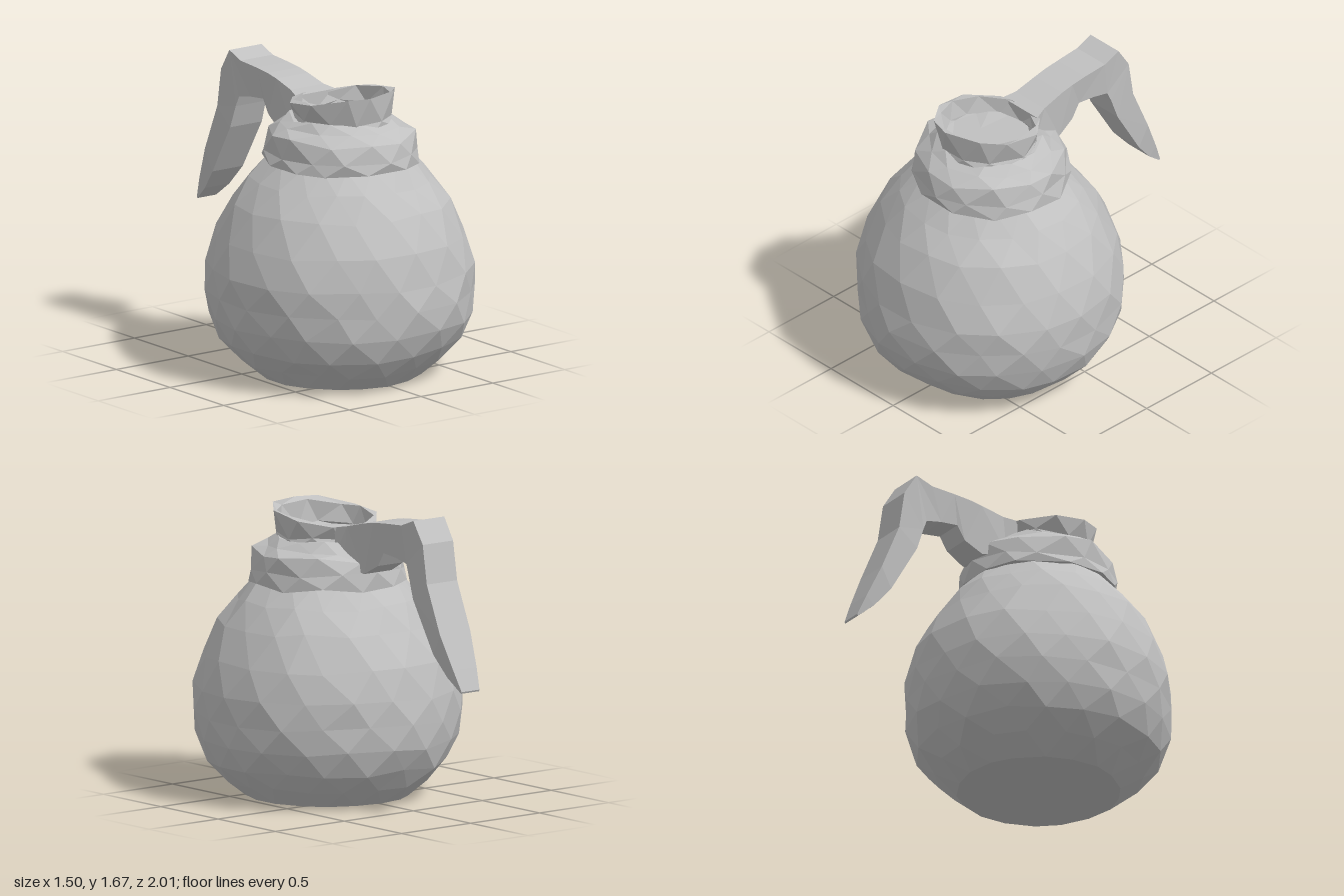
import * as THREE from 'three';

// small seeded random in -1..1
let seed = 7;
const rnd = () => {
  seed = (seed * 16807) % 2147483647;
  return (seed / 2147483647) * 2 - 1;
};

// skin closed cross-sections of equal length, with both ends capped
function loft(sections) {
  const n = sections[0].length, pos = [];
  const tri = (...pts) => pts.forEach((p) => pos.push(...p));
  for (let j = 0; j < sections.length - 1; j++) {
    const lo = sections[j], up = sections[j + 1];
    for (let i = 0; i < n; i++) {
      const k = (i + 1) % n;
      if (j % 2 === 0) {
        tri(lo[i], lo[k], up[i]);
        tri(lo[k], up[k], up[i]);
      } else {
        tri(lo[i], up[k], up[i]);
        tri(lo[i], lo[k], up[k]);
      }
    }
  }
  const first = sections[0], last = sections[sections.length - 1];
  for (let i = 1; i < n - 1; i++) {
    tri(first[0], first[i + 1], first[i]);
    tri(last[0], last[i], last[i + 1]);
  }
  const g = new THREE.BufferGeometry();
  g.setAttribute('position', new THREE.Float32BufferAttribute(pos, 3));
  g.computeVertexNormals();
  return g;
}

// rough, hand-shaped rings around a vertical axis; odd rings turn by half a step
function rings(profile, n, cz, rough, lift = () => 0) {
  return profile.map(([r, y, fixed], j) => Array.from({ length: n }, (_, i) => {
    const a = ((i + (j % 2) / 2 + rnd() * rough * 8) / n) * Math.PI * 2;
    const rr = r * (1 + rnd() * rough);
    const yy = fixed ? y : y + rnd() * rough * 0.9 + lift(a, y);
    return [Math.sin(a) * rr, yy, cz + Math.cos(a) * rr];
  }));
}

export function createModel() {
  const group = new THREE.Group();
  const clay = new THREE.MeshStandardMaterial({ color: 0xc0c0c0 });
  clay.name = 'grey clay';
  const add = (name, geometry) => {
    const mesh = new THREE.Mesh(geometry, clay);
    mesh.name = name;
    group.add(mesh);
  };

  // round pot with a flat base
  add('pot', loft(rings([
    [0.46, 0, true], [0.585, 0.1], [0.68, 0.21], [0.735, 0.34], [0.752, 0.48],
    [0.745, 0.62], [0.705, 0.8], [0.61, 0.99], [0.51, 1.12], [0.4, 1.24],
  ], 18, 0.25, 0.014)));

  // thick overhanging collar
  add('collar', loft(rings([
    [0.37, 1.23], [0.445, 1.215], [0.435, 1.29], [0.415, 1.385],
    [0.345, 1.425], [0.29, 1.465],
  ], 12, 0.25, 0.022)));

  // flared open mouth, higher at the front, with a sunken floor
  const lift = (a, y) => (y > 1.5 ? 0.035 * Math.cos(a) : 0);
  add('mouth', loft(rings([
    [0.28, 1.43], [0.275, 1.48], [0.305, 1.59], [0.27, 1.585],
    [0.255, 1.48], [0.25, 1.468, true],
  ], 10, 0.27, 0.02, lift)));

  // bent handle: outer [z, y], inner [z, y], half widths outer and inner
  const stations = [
    [0.02, 1.55, 0.02, 1.4, 0.14, 0.13],
    [-0.06, 1.565, -0.04, 1.34, 0.115, 0.12],
    [-0.2, 1.6, -0.19, 1.31, 0.11, 0.1],
    [-0.28, 1.615, -0.3, 1.37, 0.11, 0.09],
    [-0.38, 1.625, -0.35, 1.45, 0.11, 0.09],
    [-0.53, 1.635, -0.46, 1.44, 0.112, 0.095],
    [-0.635, 1.675, -0.56, 1.42, 0.112, 0.1],
    [-0.715, 1.55, -0.585, 1.36, 0.11, 0.105],
    [-0.75, 1.33, -0.63, 1.23, 0.11, 0.11],
    [-0.865, 1.06, -0.8, 0.94, 0.11, 0.105],
    [-0.95, 0.87, -0.9, 0.82, 0.085, 0.085],
    [-1.0, 0.75, -0.995, 0.74, 0.065, 0.065],
  ];
  add('handle', loft(stations.map(([zo, yo, zi, yi, wo, wi]) => [
    [-wo, yo, zo], [wo, yo, zo], [wi, yi, zi], [-wi, yi, zi],
  ])));

  clay.flatShading = true;
  return group;
}
